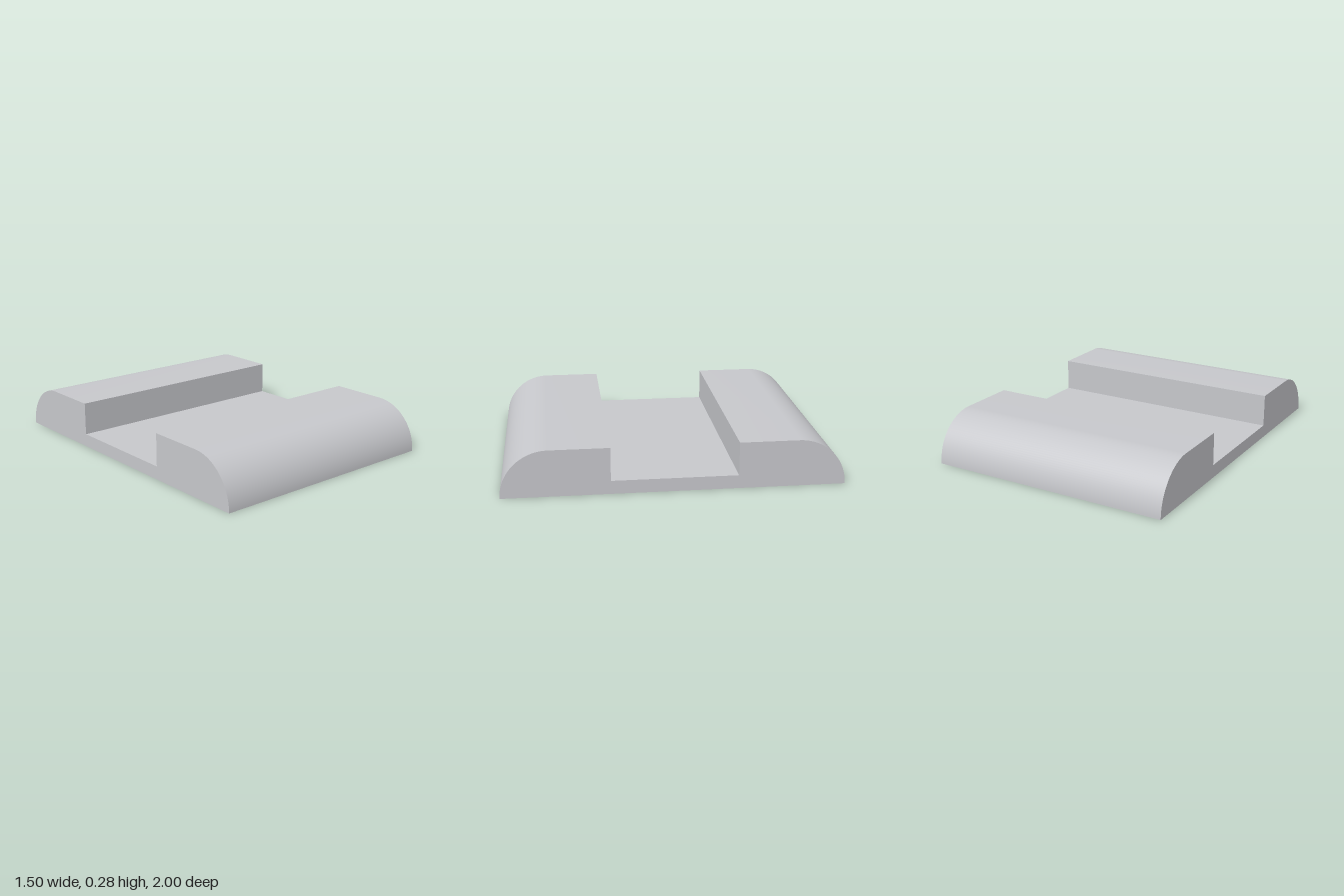
import * as THREE from 'three';
import { toCreasedNormals } from 'three/addons/utils/BufferGeometryUtils.js';

const HALF_WIDTH = 0.75, HALF_LENGTH = 1, HEIGHT = 0.28;
const GROOVE_HALF = 0.37, GROOVE_FLOOR = 0.08, RADIUS = 0.28, STEPS = 32;

// Half of the outline as (distance along the length, height), mirrored for the other half
function outline() {
  const half = [];
  for (let i = 0; i <= STEPS; i++) {
    const a = (i / STEPS) * Math.PI / 2;
    half.push(new THREE.Vector2(-(HALF_LENGTH - RADIUS) - RADIUS * Math.cos(a), HEIGHT * Math.sin(a)));
  }
  half.push(new THREE.Vector2(-GROOVE_HALF, HEIGHT), new THREE.Vector2(-GROOVE_HALF, GROOVE_FLOOR));
  return [...half, ...half.map(p => new THREE.Vector2(-p.x, p.y)).reverse()];
}

// Sheet that sweeps the outline across the width, open underneath
function skinGeometry(points) {
  const positions = [], index = [];
  points.forEach((p, i) => {
    positions.push(-HALF_WIDTH, p.y, -p.x, HALF_WIDTH, p.y, -p.x);
    if (i > 0) {
      const a = 2 * i - 2;
      index.push(a, a + 1, a + 3, a, a + 3, a + 2);
    }
  });
  const geometry = new THREE.BufferGeometry();
  geometry.setAttribute('position', new THREE.Float32BufferAttribute(positions, 3));
  geometry.setIndex(index);
  return toCreasedNormals(geometry, 0.5);
}

export function createModel() {
  const grey = new THREE.MeshStandardMaterial({ color: 0xc6c7cb, side: THREE.DoubleSide });
  grey.name = 'light grey';
  const model = new THREE.Group();
  model.name = 'groovedCover';
  const points = outline();

  // Rounded ends, ridges and groove
  const skin = new THREE.Mesh(skinGeometry(points), grey);
  skin.name = 'topShell';
  model.add(skin);

  // Flat walls closing both sides
  const wall = new THREE.ShapeGeometry(new THREE.Shape(points));
  for (const side of [1, -1]) {
    const mesh = new THREE.Mesh(wall, grey);
    mesh.name = side > 0 ? 'leftWall' : 'rightWall';
    mesh.rotation.y = side * Math.PI / 2;
    mesh.position.x = side * HALF_WIDTH;
    model.add(mesh);
  }
  return model;
}
